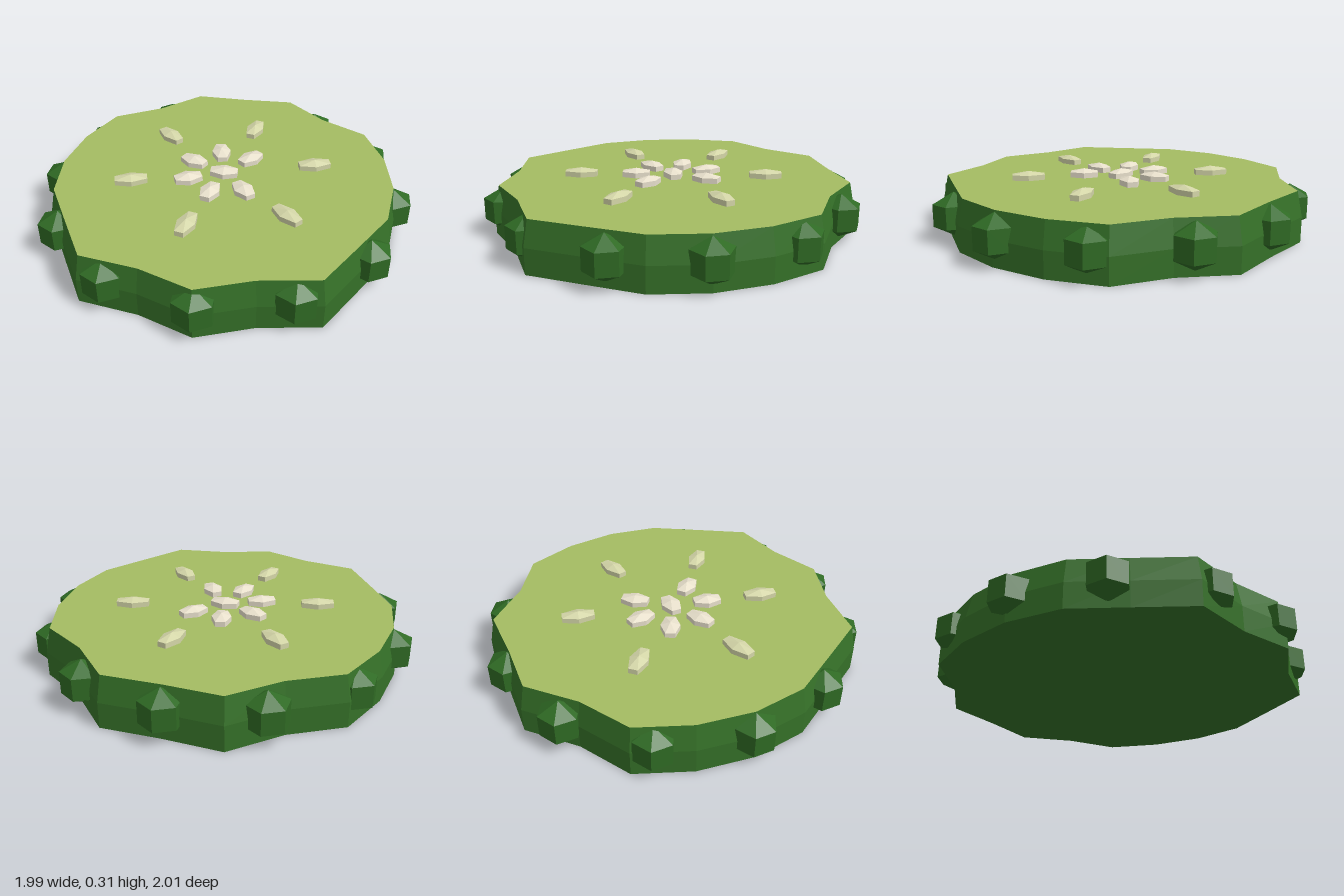
import * as THREE from 'three';

const mat = (color) => new THREE.MeshStandardMaterial({ color, flatShading: true });
const HEIGHT = 0.265;
// Outline radii every 18 degrees from front to back; mirrored left and right
const RADII = [0.925, 0.867, 0.959, 0.886, 0.904, 0.9, 0.907, 0.933, 0.858, 0.944, 0.89];
const SIDES = 20, FLARE = 1.03;
const radiusAt = (i) => RADII[Math.min(i % SIDES, SIDES - (i % SIDES))];

// Flat cap following the outline, facing up or down
function cap(scale, up) {
  const pts = [];
  for (let i = 0; i < SIDES; i++) {
    const a = (i / SIDES) * Math.PI * 2, r = radiusAt(i) * scale;
    pts.push(new THREE.Vector2(r * Math.sin(a), r * Math.cos(a) * (up ? -1 : 1)));
  }
  return new THREE.ShapeGeometry(new THREE.Shape(pts)).rotateX(up ? -Math.PI / 2 : Math.PI / 2);
}

// Wall: straight lower band, upper band leaning in to the cut face
function wall() {
  const g = new THREE.CylinderGeometry(1, 1, HEIGHT, SIDES, 2, true).translate(0, HEIGHT / 2, 0);
  const p = g.attributes.position;
  for (let i = 0; i < p.count; i++) {
    const r = radiusAt(i % (SIDES + 1)) * (p.getY(i) > HEIGHT * 0.75 ? 1 : FLARE);
    p.setXYZ(i, p.getX(i) * r, p.getY(i), p.getZ(i) * r);
  }
  return g;
}

// Six-sided nugget with a short upright band and pointed ends; corners on +-z
const nugget = (hx, hy, hz) =>
  new THREE.SphereGeometry(1, 6, 3).rotateY(Math.PI / 2).scale(hx / 0.75, hy, hz / 0.866);

export function createModel() {
  const model = new THREE.Group();
  model.name = 'vegetableSlice';
  const add = (name, geometry, material, parent = model) => {
    const mesh = new THREE.Mesh(geometry, material);
    mesh.name = name;
    parent.add(mesh);
    return mesh;
  };

  // Skin, underside and cut face
  const skin = mat(0x357028);
  add('skin', wall(), skin);
  add('underside', cap(FLARE, false), skin);
  add('cutFace', cap(1, true), mat(0xa4bc62)).position.y = HEIGHT;

  // Bumps around the skin
  const bumps = new THREE.Group();
  bumps.name = 'bumps';
  model.add(bumps);
  const bumpGeo = nugget(0.093, 0.115, 0.105), bumpMat = mat(0x2f6a24);
  for (let i = 0; i < 12; i++) {
    const a = (i / 12) * Math.PI * 2;
    add('bump', bumpGeo, bumpMat, bumps).position.set(0.9 * Math.cos(a), 0.143, 0.9 * Math.sin(a));
  }

  // Seeds: one in the middle, an inner ring and an outer ring, all pointing outward
  const seeds = new THREE.Group();
  seeds.name = 'seeds';
  model.add(seeds);
  const seed = (name, geo, material, r, a) => {
    const m = add(name, geo, material, seeds);
    m.position.set(r * Math.cos(a), 0.275, r * Math.sin(a));
    m.rotation.y = -a;
  };
  const innerGeo = nugget(0.073, 0.036, 0.052), innerMat = mat(0xe8e0cc);
  for (let i = 0; i < 7; i++) seed('innerSeed', innerGeo, innerMat, i ? 0.2 : 0, (i / 7) * Math.PI * 2);
  const outerGeo = nugget(0.086, 0.036, 0.048), outerMat = mat(0xd4d6a8);
  for (let i = 0; i < 6; i++) seed('outerSeed', outerGeo, outerMat, 0.5, 0.75 + (i / 6) * Math.PI * 2);

  return model;
}
